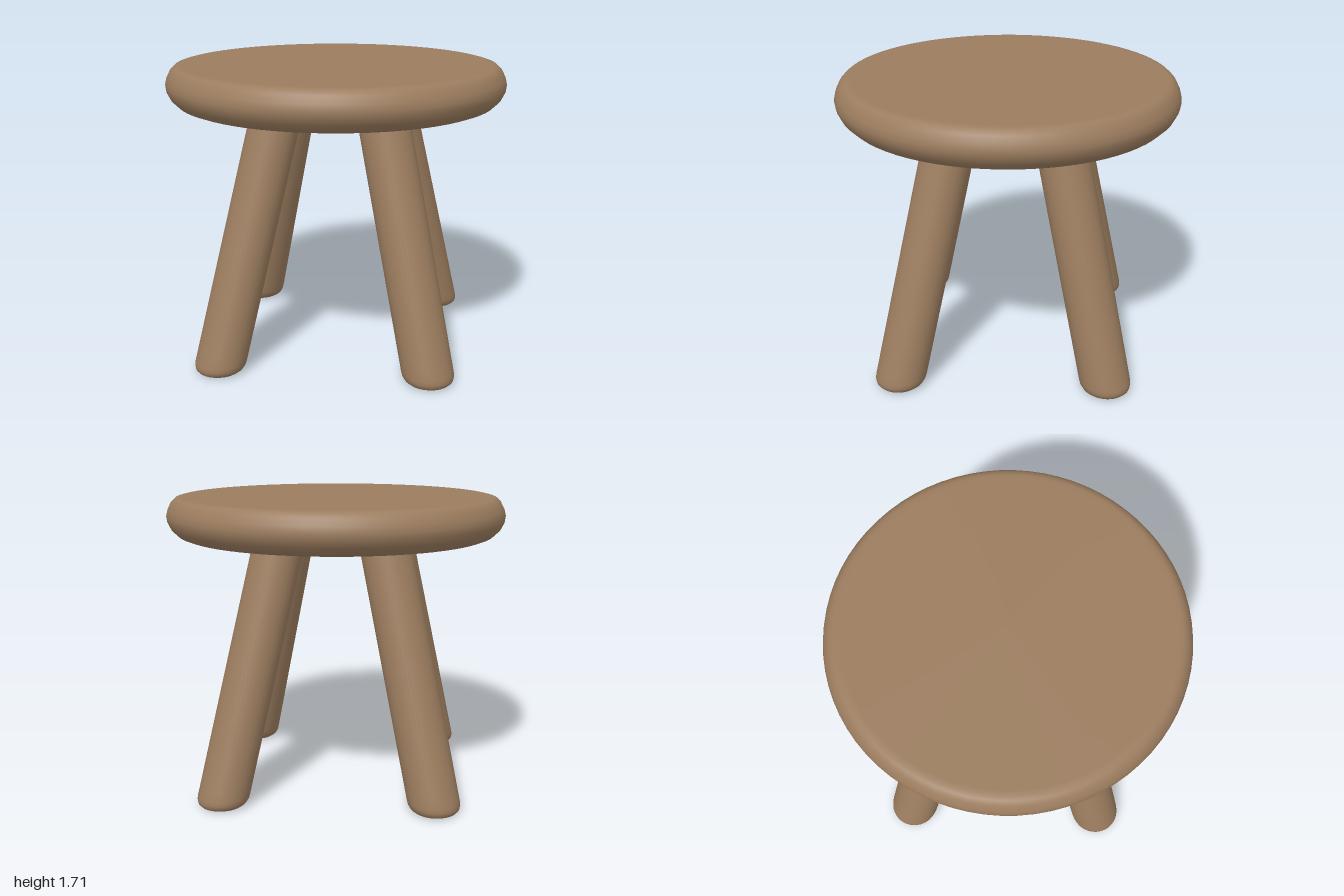
import * as THREE from 'three';

const wood = new THREE.MeshStandardMaterial({ color: 0x9c7d5f });
wood.name = 'wood';
const darkWood = new THREE.MeshStandardMaterial({ color: 0x4a3328 });
darkWood.name = 'dark wood';

const SEAT_BOTTOM = 1.475;
const FOOT_OFFSET = 0.86; // leg centre at the floor
const SPLAY = 0.297; // inward shift per unit of height

function lathe(points, segments) {
  return new THREE.LatheGeometry(points.map(([r, y]) => new THREE.Vector2(r, y)), segments);
}

// Lean a geometry along x by shifting each level, keeping its ends horizontal
function lean(geometry) {
  geometry.applyMatrix4(new THREE.Matrix4().set(
    1, -SPLAY, 0, FOOT_OFFSET,
    0, 1, 0, 0,
    0, 0, 1, 0,
    0, 0, 0, 1));
  return geometry;
}

export function createModel() {
  const model = new THREE.Group();
  model.name = 'stool';
  const add = (parent, geometry, material, name) => {
    const mesh = new THREE.Mesh(geometry, material);
    mesh.name = name;
    parent.add(mesh);
  };

  // Round seat with a bulging edge
  add(model, lathe([
    [0, 1.475], [0.86, 1.475], [0.885, 1.477], [0.925, 1.492], [0.965, 1.53],
    [0.985, 1.57], [0.99, 1.605], [0.982, 1.64], [0.962, 1.68], [0.938, 1.703],
    [0.915, 1.709], [0.89, 1.71], [0, 1.71],
  ], 72), wood, 'seat');

  // Four splayed round legs with softened feet
  const legGeometry = lean(lathe([
    [0.105, 0], [0.122, 0.005], [0.138, 0.018], [0.147, 0.038], [0.149, 0.06],
    [0.149, 0.1], [0.149, SEAT_BOTTOM - 0.02], [0.145, SEAT_BOTTOM - 0.004],
    [0.138, SEAT_BOTTOM + 0.004],
  ], 40));
  const footGeometry = lean(new THREE.CircleGeometry(0.105, 40).rotateX(Math.PI / 2));

  ['left', 'back', 'right', 'front'].forEach((side, i) => {
    const leg = new THREE.Group();
    leg.name = side + 'Leg';
    add(leg, legGeometry, wood, side + 'LegShaft');
    add(leg, footGeometry, darkWood, side + 'FootPad');
    leg.rotation.y = i * Math.PI / 2;
    model.add(leg);
  });

  return model;
}
